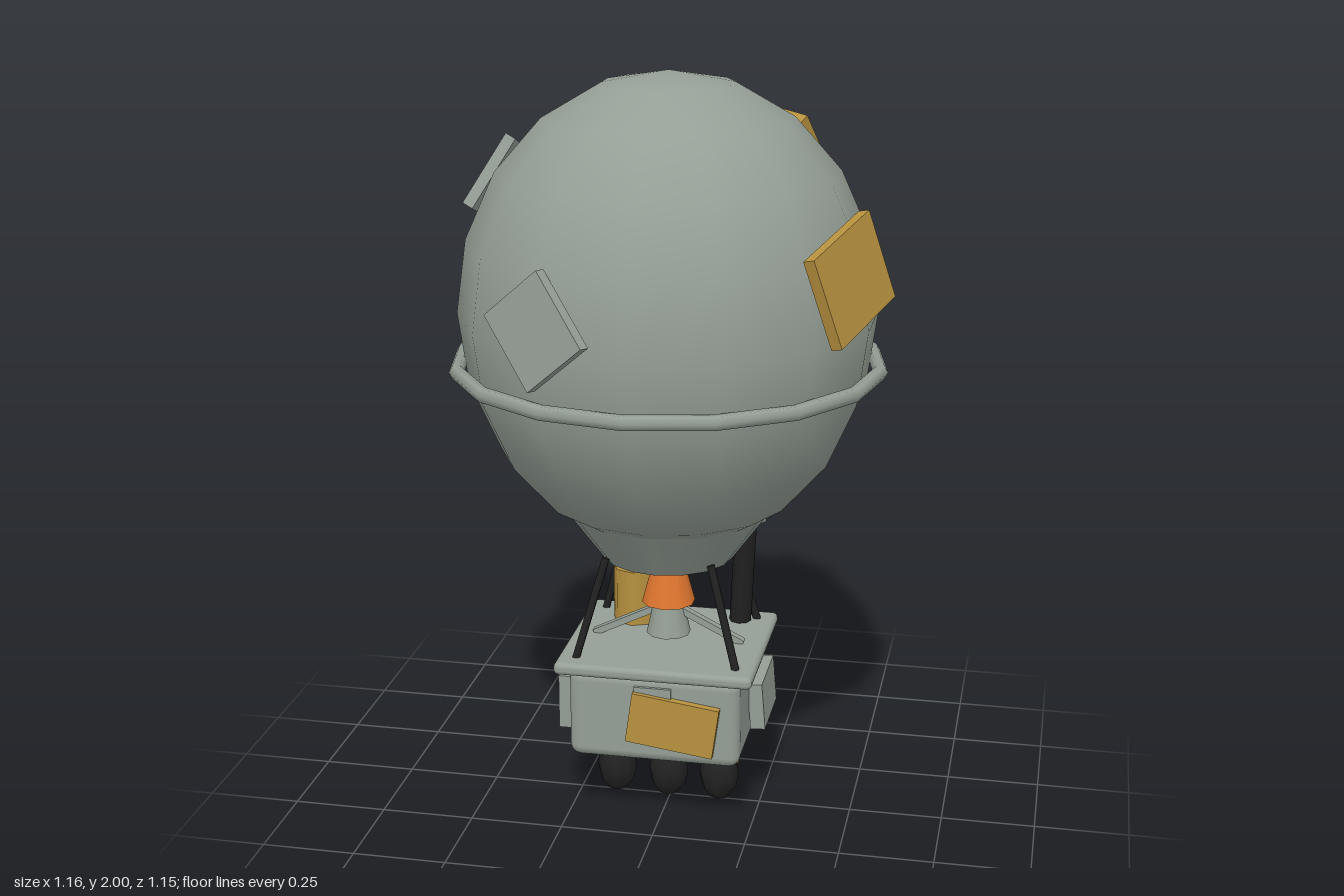
import * as THREE from 'three';
import { RoundedBoxGeometry } from 'three/addons/geometries/RoundedBoxGeometry.js';

const mat = (name, color) => {
  const m = new THREE.MeshStandardMaterial({ color });
  m.name = name;
  return m;
};

export function createModel() {
  const grey = mat('grey', 0x959f96);
  const gold = mat('gold', 0xb8923f);
  const orange = mat('orange', 0xe0762f);
  const black = mat('black', 0x222222);

  const model = new THREE.Group();
  model.name = 'balloon';
  const CX = -0.005;

  const add = (name, geo, material, x = 0, y = 0, z = 0) => {
    const m = new THREE.Mesh(geo, material);
    m.name = name;
    m.position.set(x, y, z);
    model.add(m);
    return m;
  };
  const box = (name, material, w, h, d, x, y, z) =>
    add(name, new THREE.BoxGeometry(w, h, d), material, x, y, z);
  // Cylinder running between two points
  const rod = (name, material, a, b, r, sides = 8) => {
    const p = new THREE.Vector3(...a), q = new THREE.Vector3(...b);
    const dir = q.clone().sub(p);
    const m = add(name, new THREE.CylinderGeometry(r, r, dir.length(), sides), material);
    m.position.copy(p).add(q).multiplyScalar(0.5);
    m.quaternion.setFromUnitVectors(new THREE.Vector3(0, 1, 0), dir.normalize());
    return m;
  };

  // Envelope: stretched sphere with a flared skirt
  const R = 0.545, H = 0.62, CY = 1.38;
  const envelope = add('envelope', new THREE.SphereGeometry(1, 14, 10).rotateY(Math.PI / 2).scale(R, H, R), grey, CX, CY, 0);
  envelope.geometry.computeBoundingSphere();
  add('skirt', new THREE.CylinderGeometry(0.285, 0.175, 0.15, 16), grey, CX, 0.79, 0);
  const band = add('band', new THREE.TorusGeometry(0.552, 0.02, 6, 16), grey, CX, 1.246, 0);
  band.rotation.x = Math.PI / 2;

  // Patches lying on the envelope: point, width, height, roll in degrees
  const patch = (material, x, y, z, w, h, roll) => {
    const d = new THREE.Vector3(x - CX, y - CY, z);
    d.multiplyScalar(1 / Math.hypot(d.x / R, d.y / H, d.z / R));
    const n = new THREE.Vector3(d.x / (R * R), d.y / (H * H), d.z / (R * R)).normalize();
    const right = new THREE.Vector3(0, 1, 0).cross(n).normalize();
    const up = n.clone().cross(right);
    const m = box('patch', material, w, h, 0.03, 0, 0, 0);
    m.quaternion.setFromRotationMatrix(new THREE.Matrix4().makeBasis(right, up, n));
    m.rotateZ(THREE.MathUtils.degToRad(roll));
    m.position.copy(d).addScaledVector(n, 0.006).add(new THREE.Vector3(CX, CY, 0));
  };
  patch(grey, -0.227, 1.444, 0.5, 0.2, 0.22, 40);
  patch(grey, -0.47, 1.7, -0.065, 0.19, 0.21, 22);
  patch(grey, -0.19, 1.335, -0.52, 0.25, 0.245, -12);
  patch(gold, 0.487, 1.535, 0.207, 0.3, 0.235, 14);
  patch(gold, 0.26, 1.78, -0.335, 0.18, 0.2, 7);
  patch(gold, -0.44, 1.09, -0.22, 0.19, 0.18, -10);

  // Basket and its lid
  add('basket', new RoundedBoxGeometry(0.46, 0.25, 0.43, 2, 0.03), grey, CX, 0.32, 0);
  add('basketRim', new RoundedBoxGeometry(0.53, 0.034, 0.475, 2, 0.014), grey, CX, 0.453, 0);
  box('frontPlate', grey, 0.1, 0.15, 0.02, -0.005, 0.34, 0.213);
  box('frontPatch', gold, 0.235, 0.14, 0.022, 0.05, 0.317, 0.225).rotation.z = -0.135;
  box('sidePanel', grey, 0.04, 0.13, 0.205, 0.245, 0.305, -0.055).rotation.z = 0.08;
  box('sidePanel', grey, 0.04, 0.15, 0.18, -0.256, 0.322, 0.06);

  // Ropes from the lid to the skirt
  for (const sx of [-1, 1])
    for (const sz of [-1, 1])
      rod('rope', black, [CX + sx * 0.215, 0.465, sz * 0.18], [CX + sx * 0.14, 0.74, sz * 0.14], 0.011, 6);

  // Burner with its support arms
  add('nozzle', new THREE.CylinderGeometry(0.04, 0.06, 0.09, 10), grey, CX, 0.532, 0);
  add('burnerCone', new THREE.CylinderGeometry(0.04, 0.072, 0.12, 10), orange, CX, 0.637, 0);
  add('burnerTip', new THREE.CylinderGeometry(0.03, 0.045, 0.06, 10), orange, CX, 0.715, 0);
  for (const s of [-1, 1]) {
    const arm = box('burnerArm', grey, 0.19, 0.018, 0.022, CX + s * 0.12, 0.512, 0);
    arm.rotation.z = -s * 0.46;
  }

  // Fuel tank and stove pipe
  add('tank', new THREE.CylinderGeometry(0.063, 0.063, 0.16, 8), gold, -0.12, 0.545, -0.12);
  rod('pipe', black, [0.165, 0.465, -0.16], [0.185, 0.775, -0.12], 0.03, 8);
  const cap = add('pipeCap', new THREE.CylinderGeometry(0.05, 0.05, 0.028, 8), grey, 0.186, 0.782, -0.155);
  cap.rotation.set(-0.12, 0, -0.08);

  // Ballast rail with hanging bags
  box('ballastRail', grey, 0.405, 0.03, 0.06, CX, 0.173, 0);
  for (const x of [-0.15, -0.005, 0.137]) {
    box('bagStrap', gold, 0.11, 0.05, 0.02, x, 0.14, 0);
    add('ballastBag', new THREE.SphereGeometry(1, 8, 6).scale(0.055, 0.077, 0.055), black, x, 0.077, 0);
  }
  return model;
}
